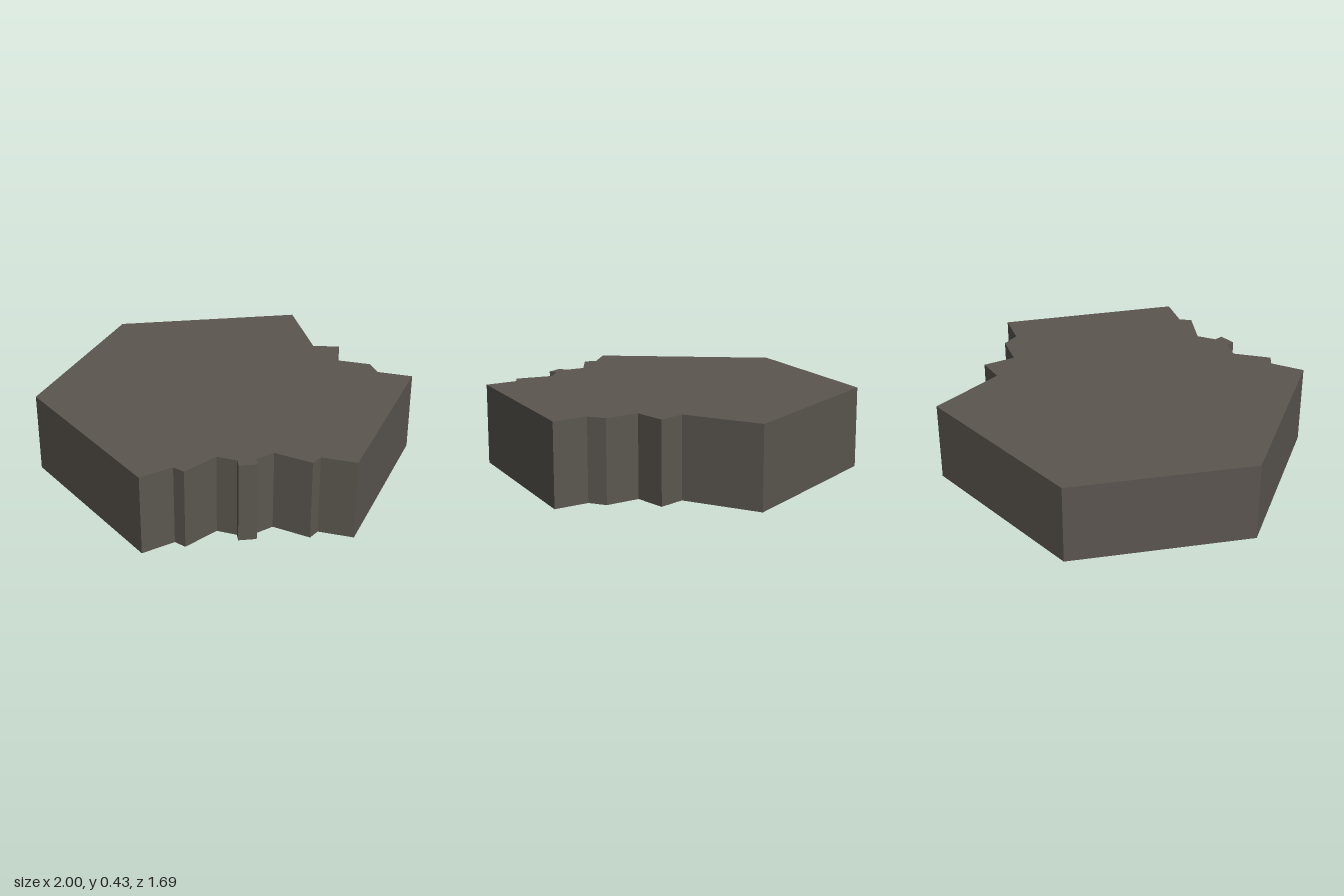
import * as THREE from 'three';

const HEIGHT = 0.43;

// Notched front edge, right half, from corner towards the middle (x, z)
const frontHalf = [
  [0.522, 0.843], [0.355, 0.77], [0.308, 0.816],
  [0.14, 0.70], [0.046, 0.747], [0.046, 0.795],
];

// Hexagon outline with two jagged edges (x, z)
const outline = [
  [-0.503, -0.843], [0.497, -0.843],
  [0.543, -0.417], [0.685, -0.394], [0.64, -0.227], [0.808, -0.158], [0.829, -0.062],
  [1, 0.01],
  ...frontHalf,
  ...frontHalf.map(([x, z]) => [-x, z]).reverse(),
  [-1, -0.015],
];

export function createModel() {
  const group = new THREE.Group();
  group.name = 'hexTile';

  const stone = new THREE.MeshStandardMaterial({ color: 0x5b564f, side: THREE.DoubleSide });
  stone.name = 'dark stone';

  // Flat top plate
  const shape = new THREE.Shape(outline.map(([x, z]) => new THREE.Vector2(x, -z)));
  const topGeometry = new THREE.ShapeGeometry(shape);
  topGeometry.rotateX(-Math.PI / 2).translate(0, HEIGHT, 0);
  const top = new THREE.Mesh(topGeometry, stone);
  top.name = 'topPlate';
  group.add(top);

  // Side walls, one quad per outline edge; the underside stays open
  const positions = [];
  outline.forEach(([ax, az], i) => {
    const [bx, bz] = outline[(i + 1) % outline.length];
    positions.push(ax, 0, az, ax, HEIGHT, az, bx, HEIGHT, bz);
    positions.push(ax, 0, az, bx, HEIGHT, bz, bx, 0, bz);
  });
  const wallGeometry = new THREE.BufferGeometry();
  wallGeometry.setAttribute('position', new THREE.Float32BufferAttribute(positions, 3));
  wallGeometry.computeVertexNormals();
  const walls = new THREE.Mesh(wallGeometry, stone);
  walls.name = 'sideWalls';
  group.add(walls);

  return group;
}
